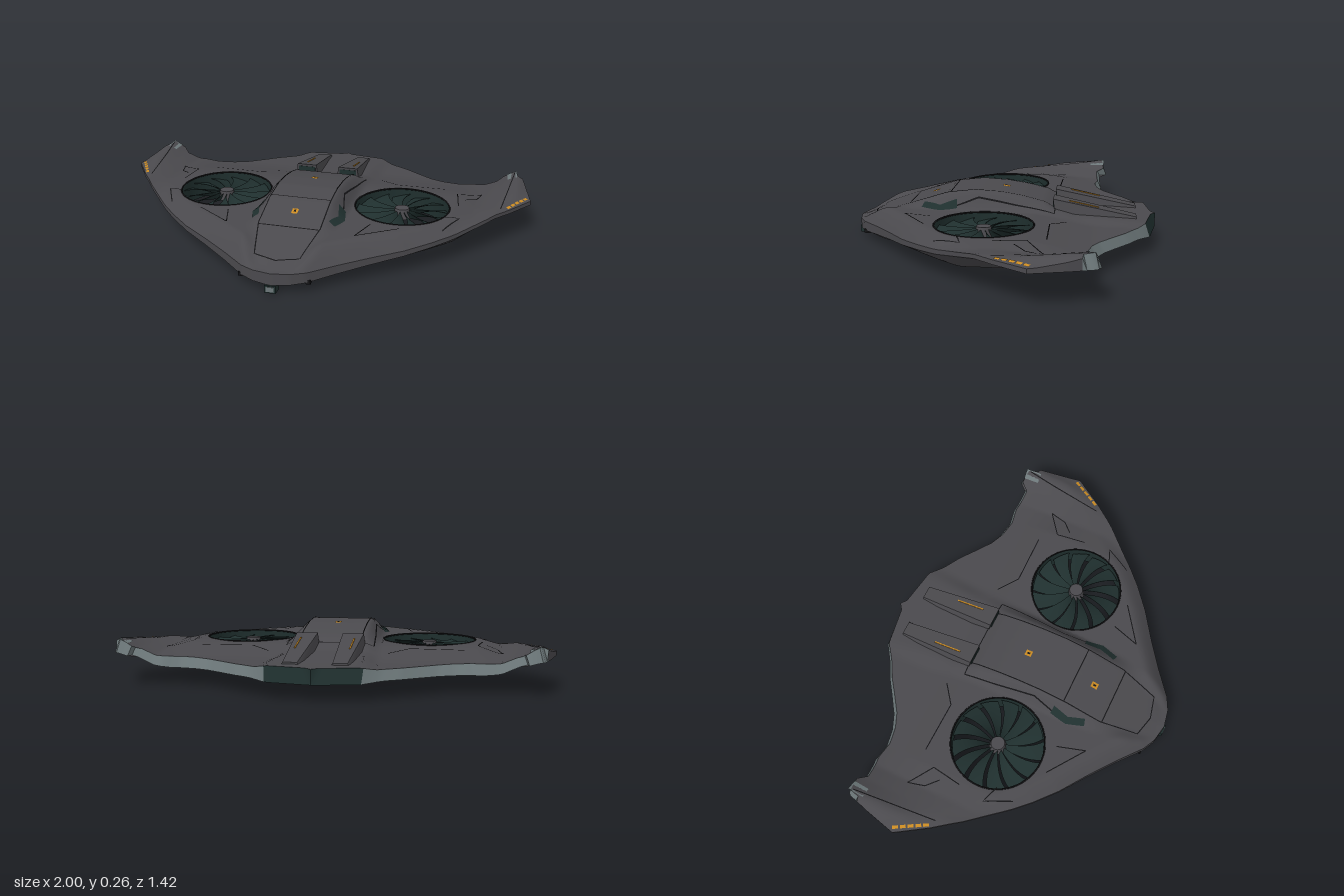
import * as THREE from 'three';
import { toCreasedNormals } from 'three/addons/utils/BufferGeometryUtils.js';

const { smoothstep, lerp, clamp } = THREE.MathUtils;
const FAN = { x: 0.43, z: 0.04, r: 0.217 };

// Half outline (x, z): nose, leading edge, wing tip, trailing edge, tail
const LEADING = [[0, 0.7], [0.08, 0.685], [0.14, 0.655], [0.25, 0.565], [0.37, 0.475], [0.5, 0.385],
  [0.6, 0.3], [0.67, 0.23], [0.74, 0.15], [0.82, 0.06], [0.91, -0.06], [1, -0.2]];
const TRAILING = [[0.965, -0.35], [0.935, -0.455], [0.925, -0.465], [0.87, -0.475], [0.865, -0.435], [0.8, -0.44],
  [0.73, -0.448], [0.65, -0.435], [0.57, -0.45], [0.5, -0.48], [0.42, -0.535], [0.35, -0.585], [0.27, -0.63], [0.2, -0.68], [0, -0.71]];

// Piecewise linear lookup
function tab(t, pts) {
  if (t <= pts[0][0]) return pts[0][1];
  for (let i = 1; i < pts.length; i++) {
    const [x0, y0] = pts[i - 1], [x1, y1] = pts[i];
    if (t <= x1) return lerp(y0, y1, (t - x0) / (x1 - x0));
  }
  return pts[pts.length - 1][1];
}

// 0 at the leading edge, rounding up to 1 inside
function edgeFade(a, z) {
  let d = 9;
  for (let i = 1; i < LEADING.length; i++) {
    const [x0, z0] = LEADING[i - 1], [x1, z1] = LEADING[i], dx = x1 - x0, dz = z1 - z0;
    const t = clamp(((a - x0) * dx + (z - z0) * dz) / (dx * dx + dz * dz), 0, 1);
    d = Math.min(d, Math.hypot(a - x0 - t * dx, z - z0 - t * dz));
  }
  return Math.sin(Math.min(d / 0.09, 1) * Math.PI / 2);
}

// Height of the upper skin
function topY(x, z) {
  const a = Math.abs(x), rise = clamp((-0.05 - z) / 0.4, 0, 1);
  const base = 0.17 - 0.045 * smoothstep(-z, 0.12, 0.47);
  const wing = tab(a, [[0.66, base], [0.76, lerp(0.155, 0.13, rise)], [0.84, 0.165], [0.91, 0.17 + 0.037 * rise], [0.935, 0.17 + 0.035 * rise], [1, 0.16]]);
  const spine = tab(z, [[-0.71, 0.135], [-0.6, 0.14], [-0.34, 0.155], [-0.25, 0.18], [-0.2, 0.207], [-0.1, 0.232], [0, 0.248],
    [0.12, 0.255], [0.25, 0.24], [0.4, 0.192], [0.6, 0.122], [0.7, 0.09]]);
  const half = tab(z, [[-0.7, 0.19], [-0.3, 0.16], [-0.2, 0.145], [0.4, 0.13], [0.6, 0.09], [0.7, 0.05]]);
  const y = lerp(spine, wing, smoothstep(a, half, half + 0.08));
  const edge = tab(a, [[0, 0.09], [0.15, 0.09], [0.5, 0.11], [0.7, 0.13], [0.85, 0.163], [1, 0.16]]);
  return lerp(edge, y, edgeFade(a, z));
}

// Height of the lower skin
function bottomY(x, z) {
  const a = Math.abs(x), base = 0.055 + 0.025 * smoothstep(-z, 0.1, 0.45);
  const wing = tab(a, [[0.68, base], [0.76, 0.09], [0.84, 0.125], [0.92, 0.145], [1, 0.14]]);
  const belly = tab(z, [[-0.71, 0.07], [-0.6, 0.075], [-0.25, 0.055], [-0.1, 0.022], [0, 0.01], [0.3, 0.002], [0.55, 0.012], [0.7, 0.035]]);
  const y = lerp(belly, wing, smoothstep(a, 0.17, 0.32));
  const edge = tab(a, [[0, 0.035], [0.15, 0.045], [0.5, 0.085], [0.7, 0.11], [0.85, 0.145], [1, 0.14]]);
  return lerp(edge, y, edgeFade(a, z));
}

// Subdivide a polyline into short steps
function resample(pts, step, closed = false) {
  const out = [], n = closed ? pts.length : pts.length - 1;
  for (let i = 0; i < n; i++) {
    const p = pts[i], q = pts[(i + 1) % pts.length];
    const k = Math.max(1, Math.ceil(Math.hypot(q[0] - p[0], q[1] - p[1]) / step));
    for (let j = 0; j < k; j++) out.push([lerp(p[0], q[0], j / k), lerp(p[1], q[1], j / k)]);
  }
  if (!closed) out.push(pts[pts.length - 1]);
  return out;
}

function toGeometry(list) {
  const g = new THREE.BufferGeometry();
  g.setAttribute('position', new THREE.Float32BufferAttribute(list, 3));
  return g;
}

export function createModel() {
  const group = new THREE.Group();
  const material = (name, color, side = THREE.FrontSide) => {
    const m = new THREE.MeshStandardMaterial({ color, side });
    m.name = name;
    return m;
  };
  const hull = material('hullGrey', 0x4a494d);
  const trim = material('edgeGrey', 0x6c7779);
  const teal = material('darkTeal', 0x1f2f2e, THREE.DoubleSide);
  const seam = material('seamBlack', 0x141416, THREE.DoubleSide);
  const amber = material('amber', 0xc98a22, THREE.DoubleSide);
  const add = (name, geometry, mat, parent = group) => {
    const m = new THREE.Mesh(geometry, mat);
    m.name = name;
    parent.add(m);
    return m;
  };
  const box = (name, mat, w, h, d, x, y, z) => add(name, new THREE.BoxGeometry(w, h, d), mat).position.set(x, y, z);

  // Hull: each half is a fan of rays from the rotor opening to the outline
  const parts = { skin: [], trailing: [], exhaust: [], duct: [] };
  const outline = resample([...LEADING, ...TRAILING], 0.02, true);
  const RINGS = 28;
  for (const s of [1, -1]) {
    const quad = (list, a, b, c, d) => {
      const order = s > 0 ? [a, b, c, a, c, d] : [a, c, b, a, d, c];
      for (const p of order) list.push(...p);
    };
    const rays = outline.map(([x, z]) => {
      const dx = x - FAN.x, dz = z - FAN.z, len = Math.hypot(dx, dz);
      const inset = z < -0.42 && x > 0 ? 0.022 : 0;
      const run = (heightAt, end) => Array.from({ length: RINGS + 1 }, (_, k) => {
        const t = lerp(FAN.r, end, k / RINGS) / len;
        const px = FAN.x + dx * t, pz = FAN.z + dz * t;
        return [s * px, heightAt(px, pz), pz];
      });
      return { x, z, top: run(topY, len - inset), bottom: run(bottomY, len) };
    });
    rays.forEach((p, i) => {
      const q = rays[(i + 1) % rays.length];
      for (let k = 0; k < RINGS; k++) {
        quad(parts.skin, p.top[k], p.top[k + 1], q.top[k + 1], q.top[k]);
        quad(parts.skin, p.bottom[k], q.bottom[k], q.bottom[k + 1], p.bottom[k + 1]);
      }
      quad(parts.duct, p.top[0], q.top[0], q.bottom[0], p.bottom[0]);
      if (p.x < 1e-6 && q.x < 1e-6) return;
      const rear = p.z < -0.4 && q.z < -0.4;
      const rim = !rear ? parts.skin : Math.max(p.x, q.x) < 0.201 ? parts.exhaust : parts.trailing;
      quad(rim, p.top[RINGS], p.bottom[RINGS], q.bottom[RINGS], q.top[RINGS]);
    });
  }
  add('hull', toCreasedNormals(toGeometry(parts.skin), 0.6), hull);
  add('trailingEdge', toCreasedNormals(toGeometry(parts.trailing), 0.6), trim);
  add('exhaust', toCreasedNormals(toGeometry(parts.exhaust), 0.6), teal);
  add('rotorDucts', toCreasedNormals(toGeometry(parts.duct), 0.6), teal);

  // Thin strip laid over the skin along a path
  const drape = (name, path, width, mat, heightAt = topY, lift = 0.0025) => {
    const pts = resample(path, 0.02), list = [];
    const sides = pts.map(([x, z], i) => {
      const a = pts[Math.max(i - 1, 0)], b = pts[Math.min(i + 1, pts.length - 1)];
      const len = Math.hypot(b[0] - a[0], b[1] - a[1]) || 1;
      const nx = -(b[1] - a[1]) / len * width / 2, nz = (b[0] - a[0]) / len * width / 2;
      return [1, -1].map(k => [x + k * nx, heightAt(x + k * nx, z + k * nz) + lift, z + k * nz]);
    });
    for (let i = 1; i < sides.length; i++) {
      const [a, b] = sides[i - 1], [c, d] = sides[i];
      list.push(...a, ...c, ...b, ...b, ...c, ...d);
    }
    const g = toGeometry(list);
    g.computeVertexNormals();
    add(name, g, mat);
  };

  for (const s of [1, -1]) {
    const mirror = path => path.map(([x, z]) => [s * x, z]);
    // Panel seams
    const seams = [
      [[0.2, -0.25], [0.19, -0.1], [0.17, 0.1], [0.19, 0.2]], [[0.14, -0.24], [0.14, 0.42], [0.1, 0.6], [0, 0.625]],
      [[0, -0.25], [0.2, -0.25]], [[0, 0.235], [0.14, 0.235]], [[0, 0.43], [0.14, 0.43]],
      [[0.27, -0.31], [0.36, -0.24], [0.6, -0.245]], [[0.77, -0.25], [0.66, -0.17], [0.68, -0.03]],
      [[0.77, -0.25], [0.75, -0.17], [0.7, -0.12]], [[0.29, 0.42], [0.33, 0.29]], [[0.29, 0.42], [0.46, 0.3]],
      [[0.62, 0.13], [0.7, 0.1], [0.64, 0.22]], [[0.91, -0.44], [0.895, -0.3], [0.87, -0.05]],
    ];
    for (const path of seams) drape('panelSeam', mirror(path), 0.005, seam);
    // Side vents, wing tip flaps and amber tip dashes
    drape('sideVent', mirror([[0.185, 0.2], [0.2, 0.28], [0.175, 0.36]]), 0.03, teal);
    drape('tipFlap', mirror([[0.895, -0.46], [0.9, -0.385]]), 0.045, trim);
    for (let i = 0; i < 5; i++) {
      const p = t => [lerp(0.98, 0.895, t), lerp(-0.21, -0.06, t)];
      drape('tipDash', mirror([p(i / 5), p((i + 0.75) / 5)]), 0.014, amber);
    }

    // Rear deck scoop: a wedge sinking toward the tail
    const g = new THREE.BoxGeometry(1, 1, 1), pos = g.attributes.position;
    for (let i = 0; i < pos.count; i++) {
      const front = pos.getZ(i) > 0, up = pos.getY(i) > 0;
      const half = (front ? 0.062 : 0.045) - (up ? 0.014 : 0);
      pos.setXYZ(i, 0.105 + Math.sign(pos.getX(i)) * half, up ? (front ? 0.224 : 0.147) : 0.12, front ? (up ? -0.24 : -0.255) : -0.62);
    }
    g.computeVertexNormals();
    const scoop = add('deckScoop', g, hull);
    scoop.position.x = s > 0 ? 0 : -0.21;
    box('scoopIntake', teal, 0.085, 0.026, 0.006, s * 0.105, 0.2, -0.243);
    const line = add('scoopLight', new THREE.BoxGeometry(0.006, 0.004, 0.14), amber);
    line.position.set(s * 0.12, 0.197, -0.38);
    line.rotation.x = -0.2;

    // Rotor: lip, hub and thirteen pitched blades
    const rotor = new THREE.Group();
    rotor.name = 'rotor';
    rotor.position.set(s * FAN.x, 0.135, FAN.z);
    group.add(rotor);
    const lip = add('rotorLip', new THREE.TorusGeometry(FAN.r, 0.004, 6, 64), seam, rotor);
    lip.rotation.x = Math.PI / 2;
    lip.position.y = 0.034;
    add('hub', new THREE.CylinderGeometry(0.032, 0.042, 0.045, 32), hull, rotor).position.y = 0.005;
    for (let i = 0; i < 13; i++) {
      const blade = new THREE.BoxGeometry(1, 0.003, 1, 8, 1, 3), bp = blade.attributes.position;
      for (let k = 0; k < bp.count; k++) {
        const t = bp.getX(k) + 0.5, w = bp.getZ(k), r = lerp(0.035, 0.212, t);
        const angle = s * (w * 0.4 + 0.18 * t * t);
        bp.setXYZ(k, r * Math.cos(angle), bp.getY(k) + w * lerp(0.035, 0.02, t), r * Math.sin(angle));
      }
      blade.computeVertexNormals();
      add('blade', blade, teal, rotor).rotation.y = (i / 13) * Math.PI * 2;
    }

    // Small sensors beside the nose
    box('noseSensor', seam, 0.02, 0.018, 0.03, s * 0.148, 0.045, 0.635);
  }

  // Spine beacons
  for (const z of [-0.01, 0.33]) {
    drape('beacon', [[0, z - 0.016], [0, z + 0.016]], 0.028, amber);
    drape('beaconCore', [[0, z - 0.007], [0, z + 0.007]], 0.009, seam, topY, 0.004);
  }

  // Belly hatches
  for (let i = 0; i < 4; i++) {
    const z = 0.25 - i * 0.14, h = 0.055, w = 0.07;
    const frame = [[-w, z - h], [w, z - h], [w, z + h], [-w, z + h], [-w, z - h]];
    for (let k = 0; k < 4; k++) drape('bellyHatch', [frame[k], frame[k + 1]], 0.004, seam, bottomY, -0.0025);
  }

  // Nose camera
  box('cameraHousing', teal, 0.05, 0.034, 0.045, 0, 0.02, 0.683);
  box('cameraLens', trim, 0.034, 0.022, 0.004, 0, 0.02, 0.706);
  return group;
}
